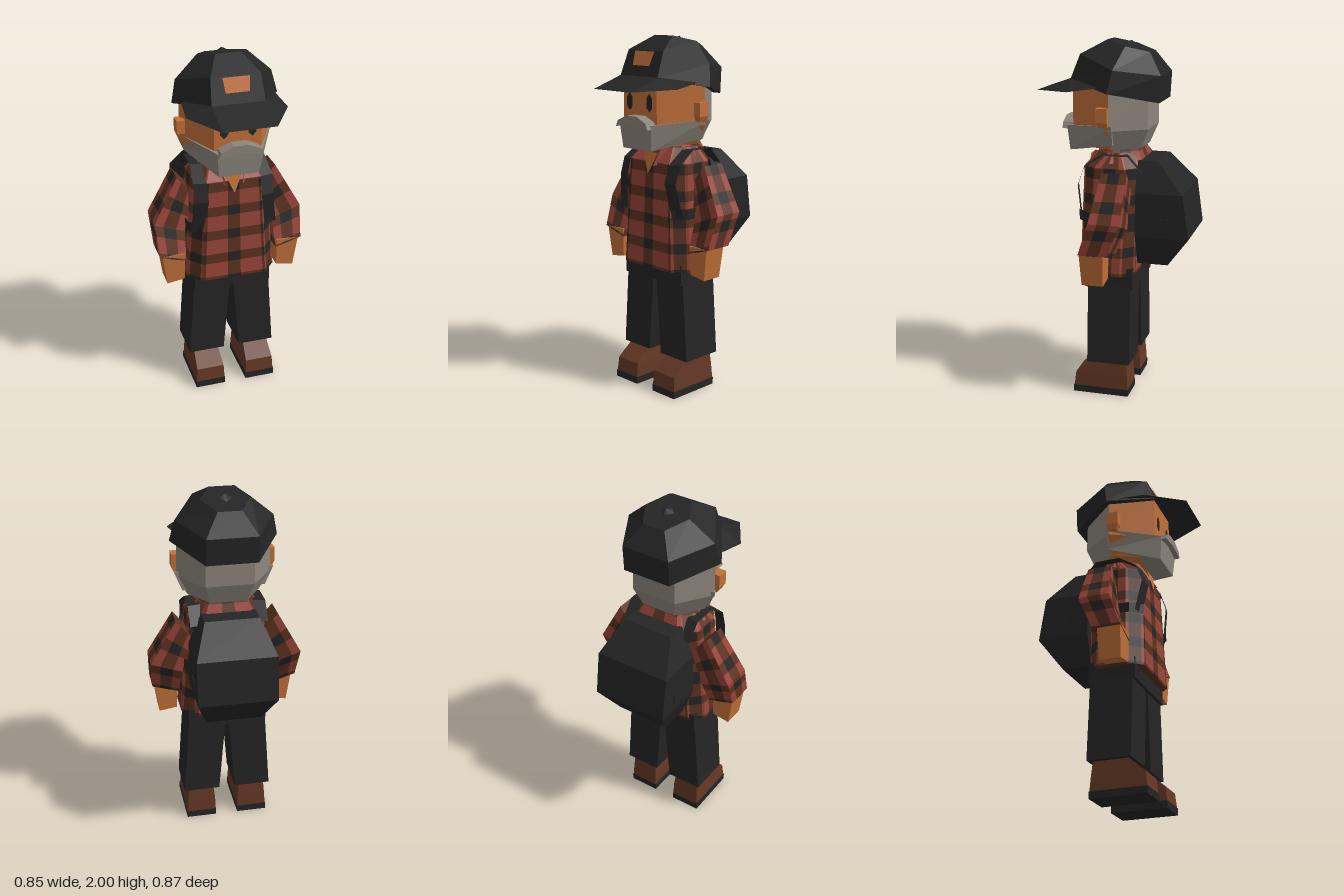
import * as THREE from 'three';

const mat = (name, color) => {
  const m = new THREE.MeshStandardMaterial({ color, side: THREE.DoubleSide });
  m.name = name;
  return m;
};

// Faceted mesh from one triangle list per material.
function facets(name, lists, mats) {
  const geo = new THREE.BufferGeometry();
  let start = 0;
  lists.forEach((l, i) => { geo.addGroup(start, l.length / 3, i); start += l.length / 3; });
  geo.setAttribute('position', new THREE.Float32BufferAttribute(lists.flat(), 3));
  geo.computeVertexNormals();
  const mesh = new THREE.Mesh(geo, mats);
  mesh.name = name;
  return mesh;
}

const mix = (a, b, t) => a.map((v, i) => v + (b[i] - v) * t);
const quad = (list, a, b, c, d) => list.push(...a, ...b, ...c, ...a, ...c, ...d);

// Splits the interval from..to into light and dark cloth bands: [t0, t1, dark].
function bands(from, to, centre, period, dark) {
  const edges = [from, to];
  for (let k = -20; k <= 20; k++)
    for (const e of [-dark / 2, dark / 2]) {
      const p = centre + k * period + e;
      if (p > from + 1e-4 && p < to - 1e-4) edges.push(p);
    }
  edges.sort((a, b) => a - b);
  return edges.slice(1).map((e, i) => {
    const m = ((edges[i] + e) / 2 - centre) / period;
    return [(edges[i] - from) / (to - from), (e - from) / (to - from),
      Math.abs(m - Math.round(m)) * period < dark / 2 ? 1 : 0];
  });
}

// Checked cloth on a four-cornered panel: list 0 light, 1 mixed, 2 dark.
function plaidPanel(lists, a, b, c, d) {
  const half = (Math.hypot(...a.map((v, i) => v - b[i])) + Math.hypot(...c.map((v, i) => v - d[i]))) / 4;
  const low = (a[1] + b[1]) / 2, high = (c[1] + d[1]) / 2;
  const at = (u, v) => mix(mix(a, b, u), mix(d, c, u), v);
  for (const [u0, u1, du] of bands(-half, half, 0, 0.19, 0.07))
    for (const [v0, v1, dv] of bands(low, high, 0.9975, 0.145, 0.057))
      quad(lists[du + dv], at(u0, v0), at(u1, v0), at(u1, v1), at(u0, v1));
}

// Skin over rings listed from bottom to top, each running front, +x, back, -x.
function loft(name, rings, mats, { plaid = false, pick = () => 0, caps = true, closed = true } = {}) {
  const lists = mats.map(() => []);
  const n = rings[0].length;
  for (let k = 0; k < rings.length - 1; k++)
    for (let i = 0; i < (closed ? n : n - 1); i++) {
      const j = (i + 1) % n;
      const q = [rings[k][i], rings[k][j], rings[k + 1][j], rings[k + 1][i]];
      if (plaid) plaidPanel(lists, ...q);
      else quad(lists[pick(i, k)], ...q);
    }
  if (caps) {
    const bottom = rings[0], top = rings[rings.length - 1], l = lists[plaid ? 1 : 0];
    for (let i = 1; i < n - 1; i++) {
      l.push(...bottom[0], ...bottom[i + 1], ...bottom[i]);
      l.push(...top[0], ...top[i], ...top[i + 1]);
    }
  }
  return facets(name, lists, mats);
}

// Cross-section helpers
const sym = (...half) => [...half.map(([x, y, z]) => [-x, y, z]).reverse(), ...half];
const hex = (f, s, b) => [[-f[0], f[1], f[2]], f, s, b, [-b[0], b[1], b[2]], [-s[0], s[1], s[2]]];
const rect = (y, x0, x1, z0, z1, y1 = y) => [[x0, y, z1], [x1, y1, z1], [x1, y1, z0], [x0, y, z0]];

export function createModel() {
  const red = mat('red cloth', 0x98443a), brown = mat('brown cloth', 0x5c3220);
  const black = mat('black', 0x252525), skin = mat('skin', 0xc27039);
  const grey = mat('grey hair', 0x8d857c), leather = mat('boot leather', 0x653825);
  const cloth = [red, brown, black];
  const model = new THREE.Group();
  model.name = 'hiker';
  const add = (...parts) => model.add(...parts);

  // Limbs, straps and ears, built on the +x side and mirrored
  for (const side of [1, -1]) {
    const g = new THREE.Group();
    g.name = side > 0 ? 'leftSide' : 'rightSide';
    g.scale.x = side;
    g.add(
      loft('sole', [rect(0, 0.065, 0.24, -0.105, 0.215), rect(0.04, 0.065, 0.24, -0.105, 0.215)], [black]),
      loft('boot', [rect(0.04, 0.067, 0.237, -0.103, 0.212), rect(0.12, 0.07, 0.232, -0.098, 0.203),
        rect(0.21, 0.08, 0.225, -0.09, 0.095)], [leather]),
      loft('trouserLeg', [rect(0.2, 0.047, 0.255, -0.115, 0.13), rect(0.66, 0.01, 0.223, -0.115, 0.13)], [black]),
      loft('sleeve', [rect(0.835, 0.265, 0.415, -0.03, 0.13, 0.88), rect(1.0, 0.255, 0.425, -0.105, 0.07, 1.06),
        rect(1.2, 0.19, 0.285, -0.11, 0.03, 1.31)], cloth, { plaid: true }),
      loft('hand', [rect(0.715, 0.275, 0.375, 0, 0.12, 0.7), rect(0.88, 0.27, 0.4, -0.005, 0.128)], [skin]),
      loft('ear', [rect(1.55, 0.24, 0.27, 0, 0.05), rect(1.58, 0.24, 0.285, 0, 0.065),
        rect(1.655, 0.24, 0.285, 0, 0.065)], [skin]),
    );
    // Strap from the top of the pack, over the shoulder and back under the arm
    const path = [[0.18, 1.3, -0.16], [0.18, 1.39, -0.08], [0.18, 1.39, 0.06], [0.19, 1.32, 0.165],
      [0.185, 1.22, 0.2], [0.215, 1.03, 0.17]];
    g.add(loft('shoulderStrap', path.map(([x, y, z]) => [[x - 0.035, y, z], [x + 0.035, y, z - 0.015]]),
      [black], { caps: false, closed: false }));
    g.add(loft('underarmStrap', [1.02, 1.08].map((y) => [[0.19, y, 0.185], [0.25, y, 0.12], [0.25, y, -0.1],
      [0.2, y, -0.15]]), [black], { caps: false, closed: false }));
    // Small side pocket of the pack
    const pocket = new THREE.Mesh(new THREE.BoxGeometry(0.008, 0.055, 0.06), black);
    pocket.name = 'packPocket';
    pocket.position.set(0.222, 1.03, -0.3);
    g.add(pocket);
    // Eye
    const eye = new THREE.Mesh(new THREE.CircleGeometry(0.05, 6, Math.PI / 2), black);
    eye.name = 'eye';
    eye.scale.x = 0.52;
    eye.position.set(0.077, 1.65, 0.239);
    g.add(eye);
    add(g);
  }

  // Trousers and shirt
  add(loft('hips', [rect(0.64, -0.223, 0.223, -0.125, 0.145), rect(0.76, -0.223, 0.223, -0.125, 0.145)], [black]));
  const torso = (y, w, f, b) => {
    const c = w * 0.72;
    return [[-c, y, f], [c, y, f], [w, y, f - 0.08], [w, y, b + 0.07], [c, y, b], [-c, y, b],
      [-w, y, b + 0.07], [-w, y, f - 0.08]];
  };
  add(loft('shirt', [torso(0.72, 0.257, 0.185, -0.13), torso(1.32, 0.212, 0.165, -0.145),
    torso(1.4, 0.16, 0.1, -0.11)], cloth, { plaid: true }));
  // Collar, open at the front: starts at the front +x edge and goes round the back
  const collar = (f, s, b) => {
    const r = [f, s, b];
    return [...r, ...r.map(([x, y, z]) => [-x, y, z]).reverse()];
  };
  add(loft('collar', [collar([0.045, 1.3, 0.185], [0.205, 1.345, 0.01], [0.13, 1.34, -0.16]),
    collar([0.065, 1.39, 0.13], [0.15, 1.415, 0], [0.1, 1.425, -0.12])], cloth,
    { plaid: true, caps: false, closed: false }));
  add(facets('openNeck', [[-0.055, 1.37, 0.158, 0, 1.25, 0.182, 0.055, 1.37, 0.158]], [skin]));

  // Neck and head: face in front, hair behind
  add(loft('neck', [1.34, 1.46].map((y) => hex([0.06, y, 0.11], [0.12, y, 0], [0.06, y, -0.1])), [skin]));
  add(loft('head', [hex([0.11, 1.42, 0.19], [0.2, 1.42, 0], [0.1, 1.42, -0.145]),
    hex([0.13, 1.53, 0.235], [0.262, 1.53, 0], [0.133, 1.53, -0.188]),
    hex([0.13, 1.8, 0.235], [0.255, 1.8, 0], [0.13, 1.8, -0.185])],
    [skin, grey], { pick: (i) => (i >= 2 && i <= 4 ? 1 : 0) }));
  add(loft('beard', [sym([0.11, 1.395, 0.26], [0.23, 1.45, -0.015]), sym([0.125, 1.535, 0.272], [0.275, 1.56, -0.02])]
    .map(([a, b, c, d]) => [b, c, d, a]), [grey]));
  const lip = new THREE.Shape([[-0.125, 1.515], [0, 1.535], [0.125, 1.515], [0.11, 1.55], [0.04, 1.58], [-0.04, 1.58],
    [-0.11, 1.55]].map((p) => new THREE.Vector2(...p)));
  const moustache = new THREE.Mesh(new THREE.ExtrudeGeometry(lip, { depth: 0.07, bevelEnabled: false }), grey);
  moustache.name = 'moustache';
  moustache.position.z = 0.23;
  add(moustache);

  // Cap, tilted slightly backwards
  add(loft('capCrown', [hex([0.145, 1.785, 0.245], [0.295, 1.735, 0], [0.14, 1.675, -0.25]),
    hex([0.135, 1.925, 0.19], [0.267, 1.855, -0.025], [0.14, 1.82, -0.258]),
    hex([0.07, 2, 0.055], [0.135, 1.97, -0.06], [0.065, 1.937, -0.18])], [black]));
  add(loft('capPeak', [sym([0.145, 1.725, 0.435], [0.275, 1.735, 0.225], [0.26, 1.757, 0.07]),
    sym([0.14, 1.79, 0.243], [0.15, 1.79, 0.235], [0.245, 1.765, 0.06])], [black], { caps: false, closed: false }));
  const button = new THREE.Mesh(new THREE.ConeGeometry(0.04, 0.022, 4), black);
  button.name = 'capButton';
  button.position.set(0, 1.983, -0.06);
  button.rotation.x = -0.26;
  add(button);
  const patch = [];
  quad(patch, [-0.065, 1.845, 0.225], [0.065, 1.845, 0.225], [0.074, 1.92, 0.196], [-0.074, 1.92, 0.196]);
  const badge = facets('capPatch', [patch], [skin]);
  badge.position.z = 0.002;
  add(badge);

  // Backpack
  add(loft('backpack', [[0.78, 0.155, -0.31], [0.95, 0.22, -0.435], [1.195, 0.22, -0.4], [1.36, 0.15, -0.25]]
    .map(([y, w, z]) => rect(y, -w, w, z, -0.138)), [black]));
  return model;
}
